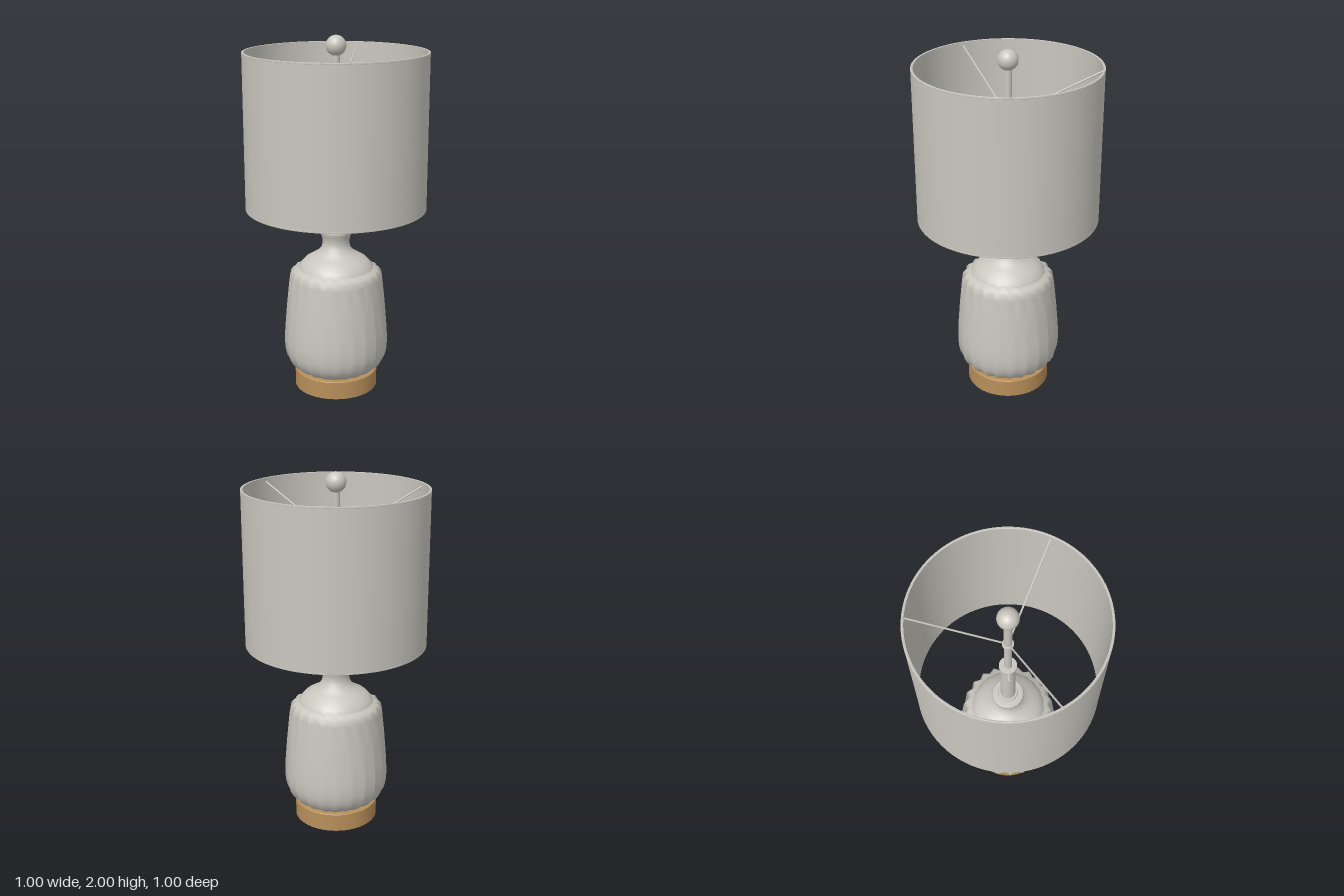
import * as THREE from 'three';
import { mergeVertices } from 'three/addons/utils/BufferGeometryUtils.js';

const FLUTES = 22;

export function createModel() {
  const lamp = new THREE.Group();
  lamp.name = 'tableLamp';

  const paleGrey = new THREE.MeshStandardMaterial({ color: 0xc9c6be });
  paleGrey.name = 'paleGrey';
  const wood = new THREE.MeshStandardMaterial({ color: 0xb88f5a });
  wood.name = 'wood';

  const add = (name, geometry, material = paleGrey) => {
    const mesh = new THREE.Mesh(geometry, material);
    mesh.name = name;
    lamp.add(mesh);
    return mesh;
  };
  // A repeated profile point makes a sharp edge
  const lathe = (points, segments) =>
    new THREE.LatheGeometry(points.map(([r, y]) => new THREE.Vector2(r, y)), segments);

  // Thin straight rod between two points
  const rod = (name, a, b, radius) => {
    const dir = b.clone().sub(a);
    const mesh = add(name, new THREE.CylinderGeometry(radius, radius, dir.length(), 8));
    mesh.position.copy(a).lerp(b, 0.5);
    mesh.quaternion.setFromUnitVectors(new THREE.Vector3(0, 1, 0), dir.normalize());
  };

  // Wooden foot
  add('base', lathe([
    [0, 0], [0.235, 0], [0.235, 0], [0.235, 0.1], [0.235, 0.1], [0.23, 0.105], [0, 0.105],
  ], 64), wood);

  // Fluted ceramic body: ridge radius, height, depth of the grooves
  const profile = [
    [0.19, 0.1, 0], [0.215, 0.108, 0.008], [0.24, 0.125, 0.014], [0.265, 0.15, 0.018],
    [0.283, 0.185, 0.021], [0.292, 0.225, 0.023], [0.296, 0.28, 0.024], [0.292, 0.36, 0.024],
    [0.28, 0.5, 0.023], [0.264, 0.65, 0.021], [0.258, 0.68, 0.02], [0.243, 0.698, 0.017],
    [0.215, 0.706, 0.008], [0.208, 0.715, 0.004], [0.2, 0.73, 0.002], [0.175, 0.757, 0.001],
    [0.135, 0.78, 0], [0.1, 0.802, 0], [0.08, 0.83, 0], [0.074, 0.86, 0],
    [0.079, 0.89, 0.001], [0.089, 0.91, 0.002], [0.092, 0.925, 0.003], [0.088, 0.934, 0.003],
    [0.078, 0.937, 0], [0.04, 0.937, 0],
  ];
  const segments = FLUTES * 2;
  let body = lathe(profile, segments);
  const pos = body.attributes.position;
  for (let i = 0; i <= segments; i++) {
    const angle = (i / segments) * Math.PI * 2;
    profile.forEach(([r, y, depth], j) => {
      const radius = i % 2 ? r : r - depth;
      pos.setXYZ(i * profile.length + j, radius * Math.sin(angle), y, radius * Math.cos(angle));
    });
  }
  body.deleteAttribute('uv');
  body.deleteAttribute('normal');
  body = mergeVertices(body, 1e-5);
  body.computeVertexNormals();
  add('flutedBody', body);

  // Collar and socket tube
  add('neckCollar', new THREE.CylinderGeometry(0.052, 0.055, 0.014, 32)).position.y = 0.942;
  add('socketTube', new THREE.CylinderGeometry(0.041, 0.041, 0.42, 32)).position.y = 1.14;
  add('socketRim', lathe([
    [0.04, 1.3], [0.048, 1.335], [0.048, 1.335], [0.048, 1.355], [0.048, 1.355], [0, 1.355],
  ], 32));
  add('socketBracket', new THREE.BoxGeometry(0.17, 0.008, 0.01)).position.y = 1.345;

  // Centre rod and ball finial
  add('centreRod', new THREE.CylinderGeometry(0.021, 0.021, 0.58, 24)).position.y = 1.63;
  add('finial', new THREE.SphereGeometry(0.055, 32, 20)).position.y = 1.945;

  // Three sloping spokes carry the shade
  add('spokeHub', new THREE.CylinderGeometry(0.03, 0.03, 0.02, 24)).position.y = 1.64;
  for (let i = 0; i < 3; i++) {
    const a = [[-0.433, 0.228], [0.433, 0.228], [0.049, -0.487]][i];
    rod('shadeSpoke', new THREE.Vector3(0, 1.64, 0), new THREE.Vector3(a[0], 1.895, a[1]), 0.005);
  }

  // Drum shade with thickness
  const [top, bottom, outer, inner] = [1.915, 1.06, 0.499, 0.487];
  add('shade', lathe([
    [outer, bottom], [outer, top], [outer, top], [inner, top],
    [inner, top], [inner, bottom], [inner, bottom], [outer, bottom],
  ], 96));
  // Rolled hems at both rims
  for (const y of [top - 0.005, bottom + 0.005]) {
    const hem = add('shadeHem', new THREE.TorusGeometry(0.4935, 0.0065, 8, 96));
    hem.rotation.x = Math.PI / 2;
    hem.position.y = y;
  }

  return lamp;
}
